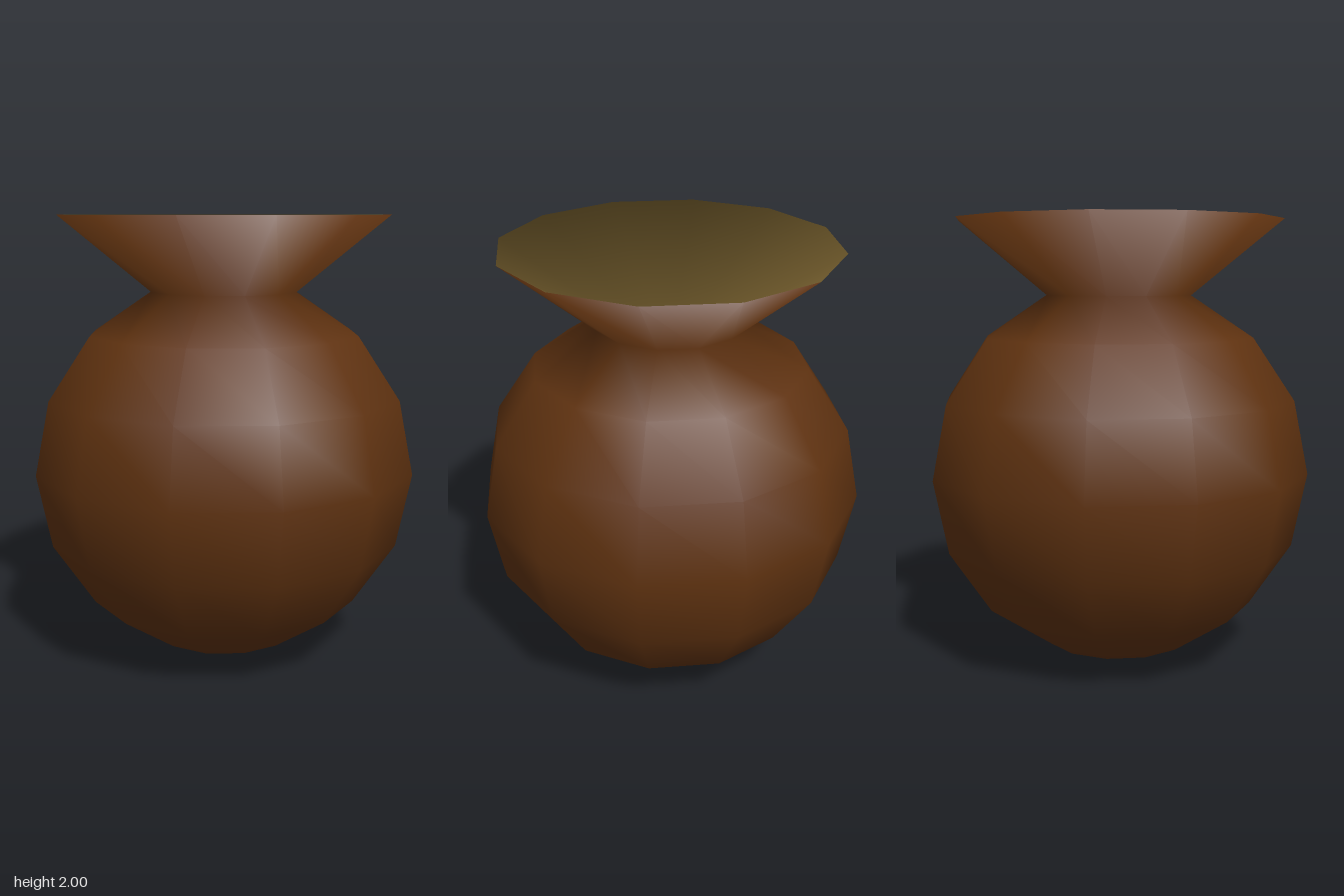
import * as THREE from 'three';

const SIDES = 12;
const R = 0.865; // body radius, also its centre height

// Revolve rows of [radius, y, outward normal, upward normal] around the y axis.
function revolve(name, rows, material) {
  const points = rows.map(([r, y]) => new THREE.Vector2(r, y));
  const geometry = new THREE.LatheGeometry(points, SIDES);
  const normals = geometry.attributes.normal;
  for (let s = 0; s <= SIDES; s++) {
    const a = (s / SIDES) * Math.PI * 2;
    rows.forEach(([, , out, up], i) => {
      const n = new THREE.Vector3(Math.sin(a) * out, up, Math.cos(a) * out).normalize();
      normals.setXYZ(s * rows.length + i, n.x, n.y, n.z);
    });
  }
  const mesh = new THREE.Mesh(geometry, material);
  mesh.name = name;
  return mesh;
}

export function createModel() {
  const brown = new THREE.MeshStandardMaterial({ color: 0x5f3210 });
  brown.name = 'brown';
  const olive = new THREE.MeshStandardMaterial({ color: 0x6a5528 });
  olive.name = 'olive';

  // Round body: a ball in eight bands, open at the top band
  const bodyRows = [];
  for (let i = 0; i < 8; i++) {
    const a = (i / 8) * Math.PI;
    const out = Math.sin(a), up = -Math.cos(a);
    bodyRows.push([R * out, R + R * up, out, up]);
  }
  // Normals at the neck and rim are blended across the folds to stay smooth
  const neck = [bodyRows[7][0], bodyRows[7][1], 1, 0.05];
  bodyRows[7] = neck;
  const rim = [0.74, 2, 0.85, 0.52];

  const model = new THREE.Group();
  model.name = 'pouch';
  model.add(
    revolve('body', bodyRows, brown),
    revolve('flaredNeck', [neck, rim], brown),
    // Hollow opening, sloping down to a point inside the neck
    revolve('innerFunnel', [rim, [0, 1.51, 0, 1]], olive),
  );
  return model;
}
